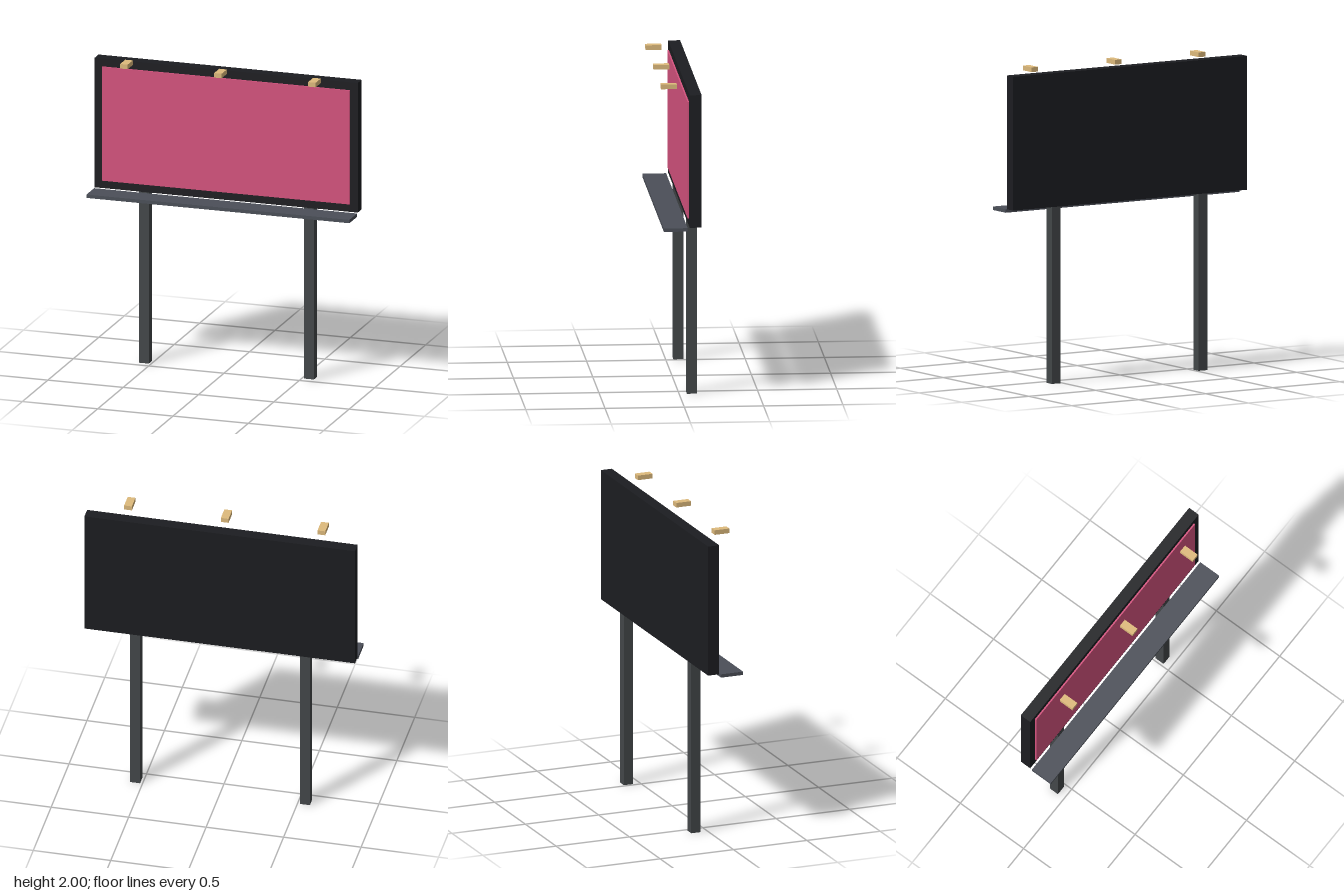
import * as THREE from 'three';

export function createModel() {
  const model = new THREE.Group();
  model.name = 'billboard';

  const paint = (color) => new THREE.MeshStandardMaterial({ color });
  const frameColor = paint(0x1c1d21);
  const panelColor = paint(0xd6537f);
  const postColor = paint(0x434749);
  const walkColor = paint(0x4b4f58);
  const lampColor = paint(0xdeba7c);

  // Box given by its extents along each axis
  function box(name, material, [x0, x1], [y0, y1], [z0, z1]) {
    const mesh = new THREE.Mesh(new THREE.BoxGeometry(x1 - x0, y1 - y0, z1 - z0), material);
    mesh.position.set((x0 + x1) / 2, (y0 + y1) / 2, (z0 + z1) / 2);
    mesh.name = name;
    model.add(mesh);
  }

  // Board with its raised display panel
  box('frame', frameColor, [-0.873, 0.873], [1.124, 1.974], [-0.119, -0.044]);
  box('displayPanel', panelColor, [-0.823, 0.823], [1.175, 1.922], [-0.046, -0.034]);

  // Walkway in front of the lower edge
  box('walkway', walkColor, [-0.873, 0.873], [1.1, 1.122], [-0.031, 0.119]);

  // Square support posts
  for (const [name, x] of [['leftPost', 0.548], ['rightPost', -0.548]]) {
    box(name, postColor, [x - 0.032, x + 0.032], [0, 1.124], [-0.112, -0.049]);
  }

  // Floodlights hovering in front of the top edge
  for (const [name, x] of [['leftLamp', 0.624], ['middleLamp', 0], ['rightLamp', -0.624]]) {
    box(name, lampColor, [x - 0.025, x + 0.025], [1.97, 2], [0.019, 0.119]);
  }

  return model;
}
